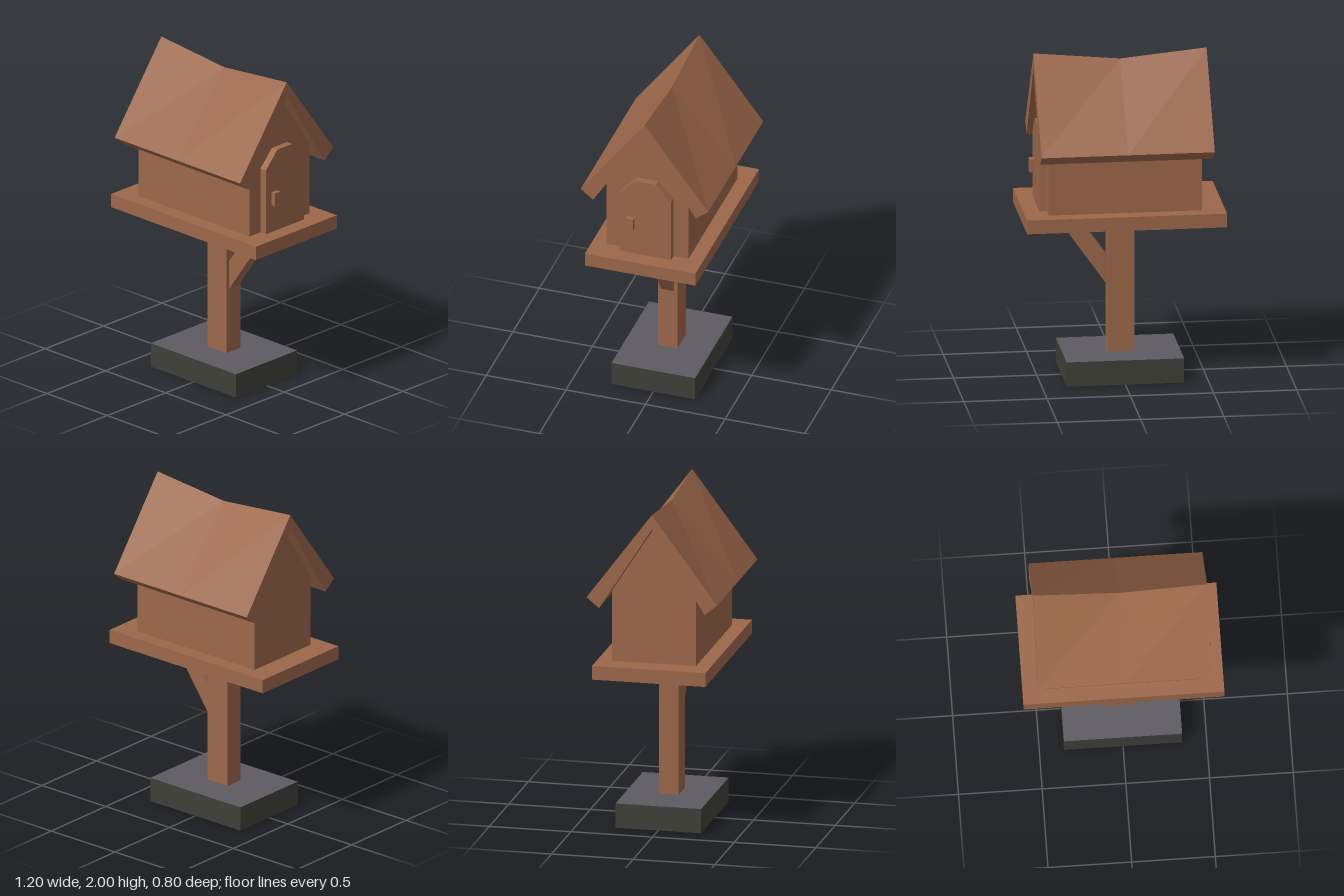
import * as THREE from 'three';

const wood = new THREE.MeshStandardMaterial({ color: 0x9c674a });
wood.name = 'wood';
const stone = new THREE.MeshStandardMaterial({ color: 0x3f3f38 });
stone.name = 'dark stone';
const slab = new THREE.MeshStandardMaterial({ color: 0x5d5a61 });
slab.name = 'stone top';

export function createModel() {
  const model = new THREE.Group();
  model.name = 'birdhouse';

  function add(name, geometry, material = wood) {
    const mesh = new THREE.Mesh(geometry, material);
    mesh.name = name;
    model.add(mesh);
    return mesh;
  }

  // box given by its min and max corners
  function box(name, [x0, y0, z0], [x1, y1, z1], material) {
    const g = new THREE.BoxGeometry(x1 - x0, y1 - y0, z1 - z0);
    g.translate((x0 + x1) / 2, (y0 + y1) / 2, (z0 + z1) / 2);
    return add(name, g, material);
  }

  // outline extruded along its depth axis
  function extrude(points, depth, steps = 1) {
    const shape = new THREE.Shape(points.map(([x, y]) => new THREE.Vector2(x, y)));
    return new THREE.ExtrudeGeometry(shape, { depth, steps, bevelEnabled: false });
  }

  // symmetric end-on outline extruded from x0 to x1
  function extrudeX(points, x0, x1, steps) {
    return extrude(points, x1 - x0, steps).rotateY(Math.PI / 2).translate(x0, 0, 0);
  }

  // base with a lighter top face, post and platform
  box('base', [-0.353, 0, -0.263], [0.353, 0.15, 0.263], [stone, stone, slab, stone, stone, stone]);
  box('post', [-0.08, 0.15, -0.06], [0.08, 0.98, 0.06]);
  box('platform', [-0.6, 0.98, -0.347], [0.6, 1.065, 0.347]);

  // diagonal support
  add('brace', extrude([[0.08, 0.555], [0.38, 0.98], [0.255, 0.98], [0.08, 0.735]], 0.08).translate(0, 0, -0.04));

  // house body with gabled ends
  add('houseBody', extrudeX(
    [[-0.257, 1.065], [0.257, 1.065], [0.257, 1.51], [0, 1.9], [-0.257, 1.51]], -0.46, 0.46));

  // door and handle
  add('door', extrudeX(
    [[-0.162, 1.065], [0.162, 1.065], [0.162, 1.475], [0.065, 1.58], [-0.065, 1.58], [-0.162, 1.475]], 0.46, 0.505));
  box('doorHandle', [0.505, 1.24, 0.067], [0.535, 1.322, 0.115]);

  // chevron roof whose ridge sags at mid length
  const roof = extrudeX(
    [[-0.4, 1.465], [-0.323, 1.403], [0, 1.91], [0.323, 1.403], [0.4, 1.465], [0, 2]], -0.52, 0.52, 2);
  const p = roof.attributes.position;
  for (let i = 0; i < p.count; i++) {
    if (Math.abs(p.getX(i)) < 0.01 && Math.abs(p.getZ(i)) < 0.01) p.setY(i, p.getY(i) - 0.05);
  }
  roof.computeVertexNormals();
  add('roof', roof);

  return model;
}
